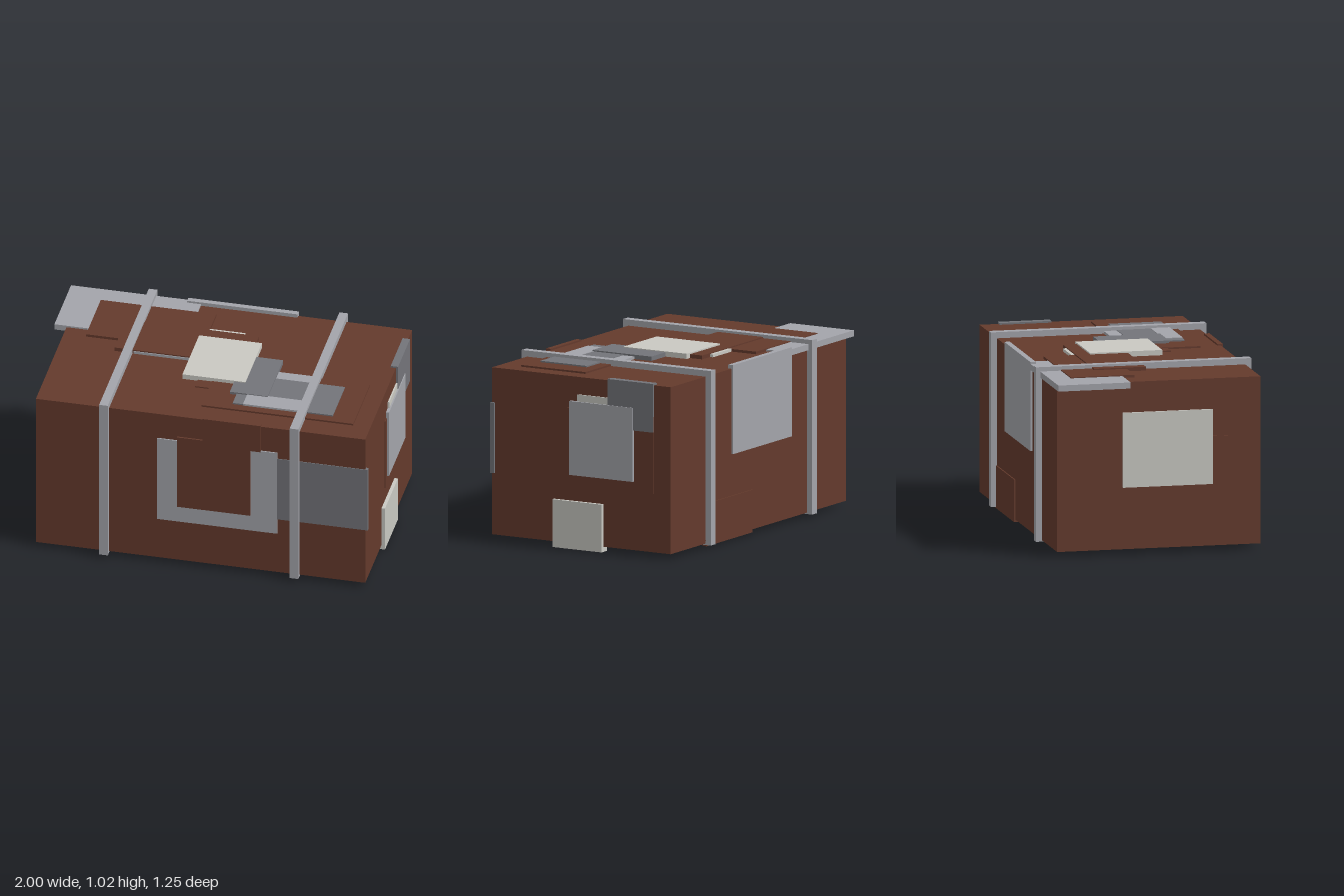
import * as THREE from 'three';

const material = (name, color) => {
  const m = new THREE.MeshStandardMaterial({ color });
  m.name = name;
  return m;
};

export function createModel() {
  const crate = new THREE.Group();
  crate.name = 'patchedCrate';
  const rust = material('rust brown', 0x643a2c);
  const steel = material('light steel', 0xa3a4aa);
  const iron = material('dark iron', 0x737479);
  const cream = material('cream', 0xc9c8c2);

  // A box given by its limits along each axis
  const plate = (parent, name, mat, [x0, x1], [y0, y1], [z0, z1]) => {
    const mesh = new THREE.Mesh(new THREE.BoxGeometry(x1 - x0, y1 - y0, z1 - z0), mat);
    mesh.position.set((x0 + x1) / 2, (y0 + y1) / 2, (z0 + z1) / 2);
    mesh.name = name;
    parent.add(mesh);
  };
  const group = (name) => {
    const g = new THREE.Group();
    g.name = name;
    crate.add(g);
    return g;
  };

  // Main body
  plate(crate, 'body', rust, [-0.93, 0.98], [0.03, 0.99], [-0.59, 0.59]);

  // Two straps, each a rectangular ring around the body
  const ring = new THREE.Shape([[-0.625, 0.022], [0.625, 0.022], [0.625, 1.025], [-0.625, 1.025]]
    .map(([a, b]) => new THREE.Vector2(a, b)));
  ring.holes.push(new THREE.Path([[-0.585, 0.04], [-0.585, 0.985], [0.585, 0.985], [0.585, 0.04]]
    .map(([a, b]) => new THREE.Vector2(a, b))));
  const strapGeometry = new THREE.ExtrudeGeometry(ring, { depth: 0.05, bevelEnabled: false });
  strapGeometry.translate(0, 0, -0.025).rotateY(Math.PI / 2);
  for (const x of [-0.53, 0.575]) {
    const strap = new THREE.Mesh(strapGeometry, steel);
    strap.name = 'strap';
    strap.position.x = x;
    crate.add(strap);
  }

  // Lid patches: name, material, x range, z range, underside, upper face
  const lid = group('lidPatches');
  for (const [name, mat, x, z, low, high] of [
    ['cornerPlate', steel, [-1, -0.24], [-0.6, -0.18], 0.965, 1.0],
    ['rearBoard', rust, [-0.8, -0.13], [-0.48, -0.11], 0.98, 1.005],
    ['middleBoard', rust, [-0.61, 0.16], [-0.3, 0], 0.98, 1.012],
    ['middleStrip', steel, [-0.5, -0.1], [-0.15, 0.005], 0.98, 1.005],
    ['smallPatch', cream, [-0.13, 0.075], [-0.32, -0.15], 0.98, 1.007],
    ['creamPatch', cream, [-0.17, 0.195], [-0.22, 0.2], 0.985, 1.02],
    ['innerBoard', rust, [-0.08, 0.3], [0, 0.27], 0.98, 0.997],
    ['frontBoard', rust, [0, 0.88], [0.035, 0.46], 0.98, 1.0],
    ['narrowPlate', steel, [0.25, 0.57], [0.03, 0.12], 0.98, 1.005],
    ['widePlate', iron, [0.17, 0.75], [0.105, 0.41], 0.98, 1.008],
    ['edgePlate', steel, [0.23, 0.55], [0.3, 0.412], 0.99, 1.011],
    ['upperPlate', iron, [0.13, 0.35], [-0.08, 0.31], 0.99, 1.015],
  ]) plate(lid, name, mat, x, [low, high], z);

  // Front patches
  const front = group('frontPatches');
  plate(front, 'cornerPlate', iron, [0.4, 0.995], [0.385, 0.79], [0.57, 0.594]);
  plate(front, 'largePlate', steel, [-0.225, 0.47], [0.29, 0.83], [0.58, 0.597]);
  plate(front, 'coverBoard', rust, [-0.11, 0.315], [0.39, 0.855], [0.58, 0.6]);
  plate(front, 'topBoard', rust, [0.04, 0.375], [0.825, 1.0], [0.57, 0.601]);

  // Back patches
  const back = group('backPatches');
  plate(back, 'largePlate', steel, [-0.32, 0.32], [0.5, 1.012], [-0.602, -0.57]);
  plate(back, 'bottomBoard', rust, [0.1, 0.6], [0.015, 0.26], [-0.597, -0.57]);

  // Patches on the model's left side
  const left = group('leftPatches');
  plate(left, 'board', rust, [0.96, 0.986], [0.365, 0.81], [-0.48, 0.105]);
  plate(left, 'creamPatch', cream, [0.96, 0.989], [0.6, 0.89], [-0.25, 0.025]);
  plate(left, 'cornerPlate', iron, [0.95, 0.993], [0.72, 1.0], [-0.48, -0.18]);
  plate(left, 'largePlate', steel, [0.96, 0.998], [0.425, 0.85], [-0.35, 0.07]);
  plate(left, 'bottomPatch', cream, [0.94, 1.0], [0, 0.275], [-0.145, 0.18]);

  // Patches on the model's right side
  const right = group('rightPatches');
  plate(right, 'board', rust, [-0.936, -0.92], [0.36, 0.66], [-0.2, 0.4]);
  plate(right, 'creamPatch', cream, [-0.942, -0.92], [0.385, 0.815], [-0.21, 0.31]);

  return crate;
}
